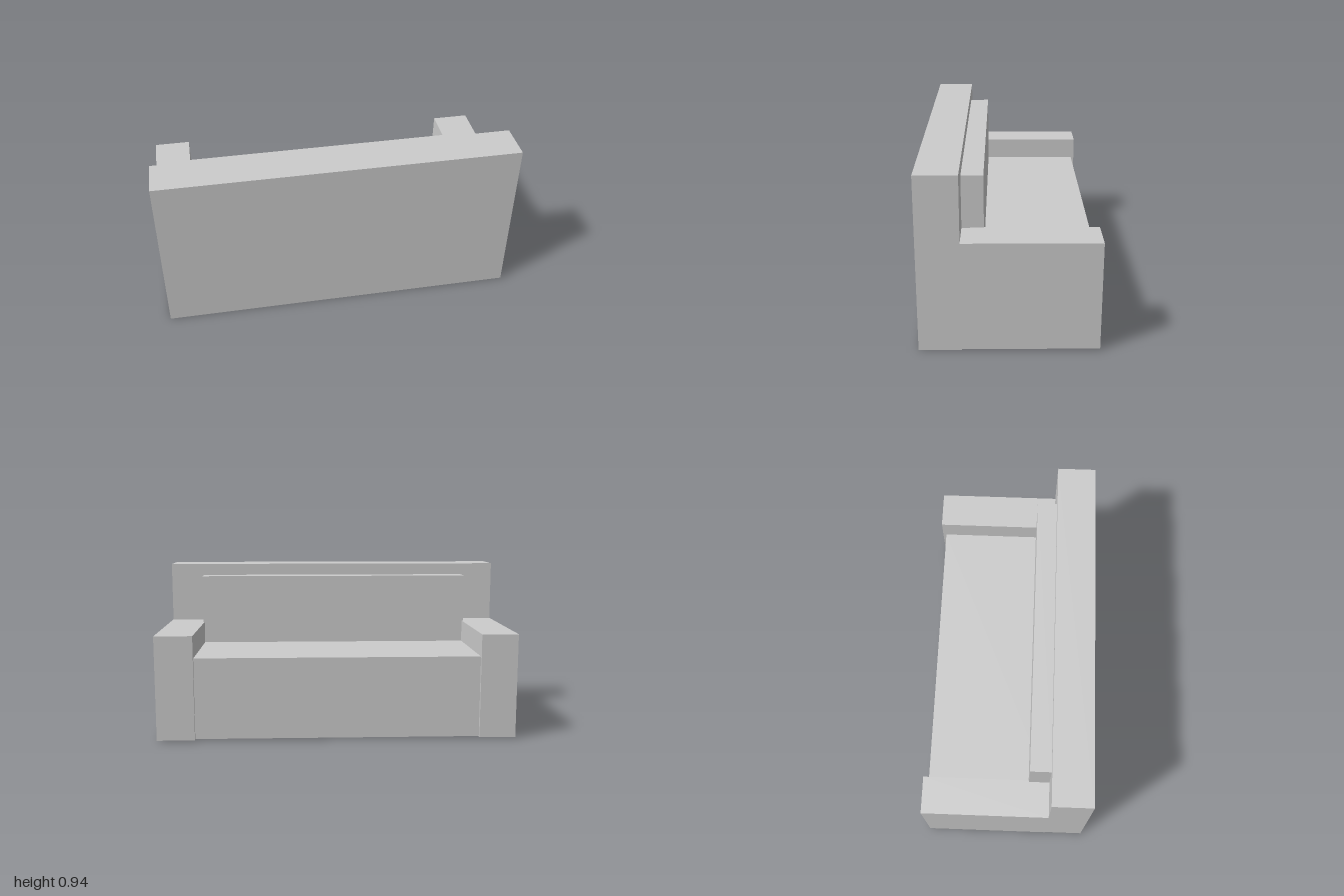
import * as THREE from 'three';

export function createModel() {
  const sofa = new THREE.Group();
  sofa.name = 'sofa';
  const material = new THREE.MeshStandardMaterial({ color: 0xcccccc, flatShading: true });

  // Box spanning two opposite corners
  function addBox(name, [x0, y0, z0], [x1, y1, z1]) {
    const mesh = new THREE.Mesh(new THREE.BoxGeometry(x1 - x0, y1 - y0, z1 - z0), material);
    mesh.position.set((x0 + x1) / 2, (y0 + y1) / 2, (z0 + z1) / 2);
    mesh.name = name;
    sofa.add(mesh);
  }

  // Tall backrest across the full width
  addBox('backrest', [-0.997, 0, 0.242], [0.997, 0.938, 0.462]);

  // Armrests, slightly proud of the seat
  addBox('leftArmrest', [0.79, 0.007, -0.462], [1, 0.59, 0.242]);
  addBox('rightArmrest', [-1, 0.007, -0.462], [-0.797, 0.59, 0.242]);

  // Seat block between the arms
  addBox('seat', [-0.797, 0.009, -0.443], [0.79, 0.464, 0.24]);

  // Long cushion leaning on the backrest
  addBox('backCushion', [-0.805, 0.464, 0.128], [0.797, 0.87, 0.242]);

  return sofa;
}
